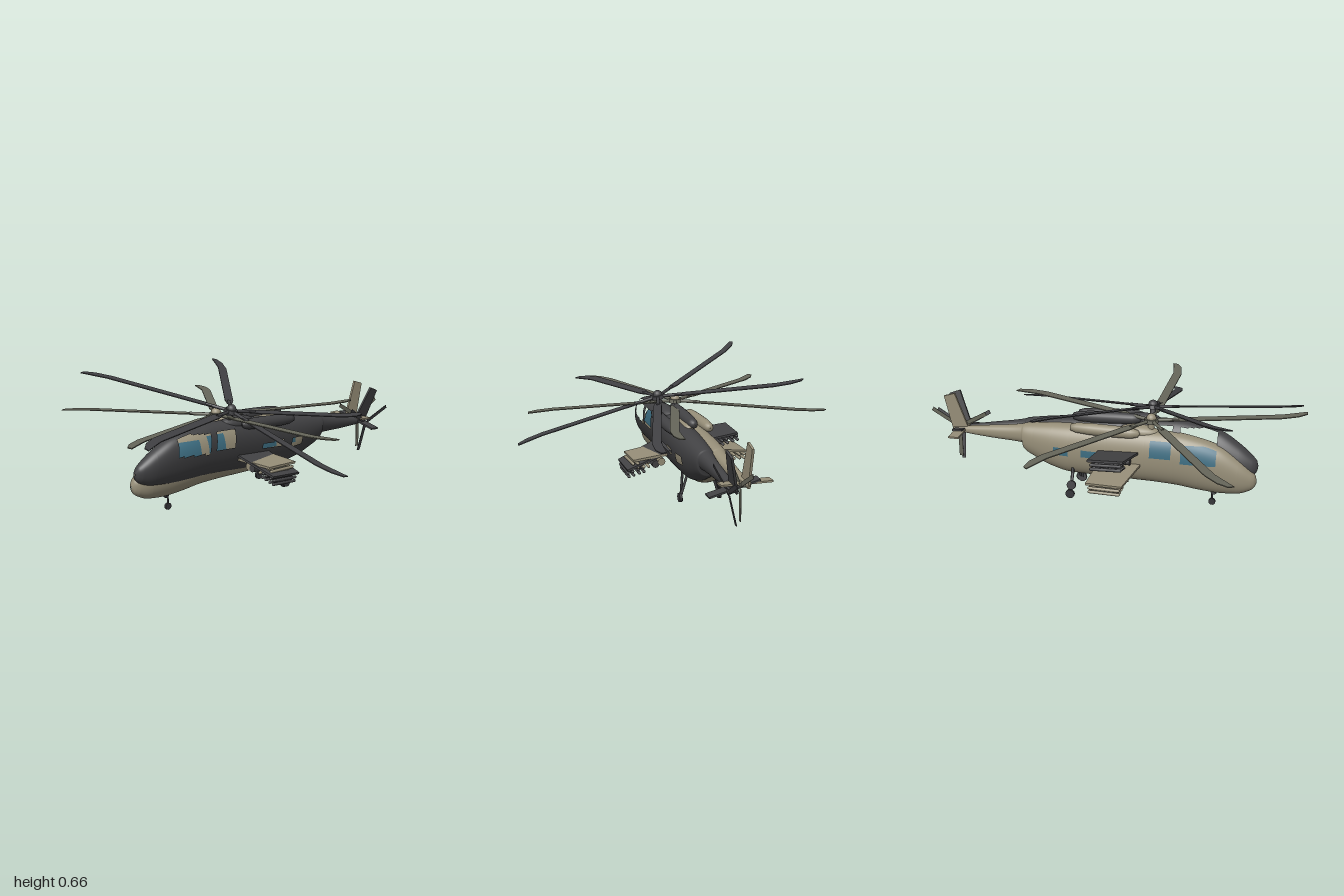
import * as THREE from 'three';

const mat = (name, color, side = THREE.FrontSide) => {
  const m = new THREE.MeshStandardMaterial({ color, side });
  m.name = name;
  return m;
};

// Fuselage stations: z, belly height, roof height, half width
const STATIONS = [
  [0.775, 0.152, 0.165, 0.002], [0.768, 0.132, 0.19, 0.02], [0.745, 0.11, 0.215, 0.036],
  [0.68, 0.085, 0.272, 0.056], [0.58, 0.078, 0.335, 0.069], [0.48, 0.085, 0.365, 0.076],
  [0.35, 0.1, 0.385, 0.081], [0.2, 0.105, 0.388, 0.085], [0, 0.105, 0.385, 0.086],
  [-0.2, 0.108, 0.376, 0.084], [-0.3, 0.13, 0.37, 0.077], [-0.4, 0.175, 0.36, 0.064],
  [-0.458, 0.212, 0.352, 0.053], [-0.466, 0.245, 0.348, 0.044], [-0.65, 0.253, 0.32, 0.028],
  [-0.8, 0.264, 0.3, 0.018], [-0.86, 0.27, 0.292, 0.01], [-0.865, 0.28, 0.281, 0.001],
];
const POWER = 2.2;

// Windows: front z, rear z, sill, top, and how far an open frame reaches beyond the glass
const WINDOWS = [
  { name: 'cockpitWindow', z: [0.39, 0.57], y: [0.25, 0.345], grow: 0.015 },
  { name: 'doorWindow', z: [0.23, 0.34], y: [0.268, 0.355], grow: 0.006 },
  { name: 'cabinWindow', z: [-0.13, 0.02], y: [0.232, 0.27], grow: 0 },
  { name: 'rearWindow', z: [-0.28, -0.2], y: [0.228, 0.27], grow: 0 },
];

// Smooth, overshoot-free blend between stations
function stationAt(z) {
  const last = STATIONS.length - 1;
  let i = 0;
  while (i < last - 1 && STATIONS[i + 1][0] > z) i++;
  const slope = (j, k) => (STATIONS[j + 1][k] - STATIONS[j][k]) / (STATIONS[j + 1][0] - STATIONS[j][0]);
  const tangent = (j, k) => {
    if (j === 0) return slope(0, k);
    if (j === last) return slope(last - 1, k);
    const a = slope(j - 1, k), b = slope(j, k);
    return a * b > 0 ? (2 * a * b) / (a + b) : 0;
  };
  const h = STATIONS[i + 1][0] - STATIONS[i][0];
  const t = (z - STATIONS[i][0]) / h, u = 1 - t;
  return [1, 2, 3].map((k) => u * u * (1 + 2 * t) * STATIONS[i][k] + t * t * (3 - 2 * t) * STATIONS[i + 1][k]
    + h * t * u * (u * tangent(i, k) - t * tangent(i + 1, k)));
}

const windowTop = (w, z) => Math.min(w.y[1], stationAt(z)[1] - 0.015);

const inWindow = (z, y) => WINDOWS.some((w) => z > w.z[0] - w.grow && z < w.z[1] && y > w.y[0]
  && y < windowTop(w, z) + w.grow * 0.4);

function hullGeometry(open) {
  const n = 80, pos = [], index = [];
  const bend = (v) => Math.sign(v) * Math.pow(Math.abs(v), 2 / POWER);
  const zs = STATIONS.map((s) => s[0]);
  for (let z = 0.76; z > -0.86; z -= 0.01) zs.push(z);
  zs.sort((a, b) => b - a);
  zs.forEach((z, i) => {
    const [lo, hi, w] = stationAt(z);
    for (let j = 0; j < n; j++) {
      const a = (j / n) * Math.PI * 2;
      const y = (lo + hi) / 2 + ((hi - lo) / 2) * bend(Math.sin(a));
      pos.push(w * bend(Math.cos(a)), y, z);
      if (i === zs.length - 1 || (open && inWindow(z - 0.005, y))) continue;
      const p = i * n + j, q = i * n + ((j + 1) % n);
      index.push(p, p + n, q, q, p + n, q + n);
    }
  });
  const g = new THREE.BufferGeometry();
  g.setAttribute('position', new THREE.Float32BufferAttribute(pos, 3));
  g.setIndex(index);
  g.computeVertexNormals();
  return g;
}

// Thin pane that follows the hull side
function paneGeometry(side, w) {
  const g = new THREE.PlaneGeometry(1, 1, 12, 10), p = g.attributes.position;
  for (let i = 0; i < p.count; i++) {
    const z = THREE.MathUtils.lerp(...w.z, p.getX(i) + 0.5);
    const y = THREE.MathUtils.lerp(w.y[0], windowTop(w, z), p.getY(i) + 0.5);
    const [lo, hi, half] = stationAt(z);
    const t = Math.abs((2 * y - lo - hi) / (hi - lo));
    p.setXYZ(i, side * (half * Math.pow(1 - Math.pow(t, POWER), 1 / POWER) + 0.004), y + 0.001, z);
  }
  if (side > 0) g.index.array.reverse();
  g.computeVertexNormals();
  return g;
}

const plate = (pts, depth) => {
  const g = new THREE.ExtrudeGeometry(new THREE.Shape(pts.map((p) => new THREE.Vector2(...p))),
    { depth, bevelEnabled: false });
  return g.translate(0, 0, -depth / 2);
};

// Without glass the window frames are left open
function createHelicopter(body, trim, dark, glass) {
  const heli = new THREE.Group();
  const add = (name, geo, m, x = 0, y = 0, z = 0, parent = heli) => {
    const mesh = new THREE.Mesh(geo, m);
    mesh.name = name;
    mesh.position.set(x, y, z);
    parent.add(mesh);
    return mesh;
  };
  const rod = (name, a, b, r, m) => {
    const from = new THREE.Vector3(...a), dir = new THREE.Vector3(...b).sub(from);
    const mesh = add(name, new THREE.CylinderGeometry(r, r, dir.length(), 10), m);
    mesh.position.copy(from).addScaledVector(dir, 0.5);
    mesh.quaternion.setFromUnitVectors(new THREE.Vector3(0, 1, 0), dir.normalize());
  };
  const wheel = (name, x, y, z, r, w) =>
    add(name, new THREE.CylinderGeometry(r, r, w, 18).rotateZ(Math.PI / 2), dark, x, y, z);

  add('fuselage', hullGeometry(!glass), body);

  // Rotor mast and hub
  add('rotorFairing', new THREE.SphereGeometry(1, 20, 12).scale(0.045, 0.035, 0.11), body, 0, 0.375, 0.16);
  add('mast', new THREE.CylinderGeometry(0.014, 0.02, 0.08, 14), body, 0, 0.41, 0.222);
  const rotor = new THREE.Group();
  rotor.name = 'mainRotor';
  rotor.position.set(0, 0.443, 0.222);
  heli.add(rotor);
  add('hub', new THREE.CylinderGeometry(0.034, 0.038, 0.02, 20), trim, 0, 0, 0, rotor);
  add('hubDome', new THREE.SphereGeometry(0.026, 16, 8, 0, Math.PI * 2, 0, Math.PI / 2), body, 0, 0.01, 0, rotor);
  const bladeGeo = plate([[0.1, -0.012], [0.15, -0.025], [0.67, -0.029], [0.76, -0.012], [0.815, 0.018],
    [0.82, 0.046], [0.76, 0.034], [0.68, 0.019], [0.15, 0.021], [0.1, 0.012]], 0.005).rotateX(-Math.PI / 2);
  const armGeo = new THREE.CylinderGeometry(0.009, 0.009, 0.12, 10).rotateZ(Math.PI / 2).translate(0.08, 0, 0);
  for (let i = 0; i < 5; i++) {
    const a = (i * Math.PI * 2) / 5;
    add('rotorBlade', bladeGeo, trim, 0, 0, 0, rotor).rotation.y = a;
    add('bladeArm', armGeo, trim, 0, 0, 0, rotor).rotation.y = a;
  }

  // Tail fin, stabilizer and tail rotor
  add('tailFin', plate([[0.77, 0.275], [0.86, 0.265], [0.905, 0.465], [0.845, 0.485]], 0.012)
    .rotateY(Math.PI / 2), body);
  add('stabilizer', new THREE.BoxGeometry(0.26, 0.009, 0.055), body, 0, 0.285, -0.815);
  const tail = new THREE.Group();
  tail.name = 'tailRotor';
  tail.position.set(0.034, 0.28, -0.84);
  heli.add(tail);
  add('tailHub', new THREE.CylinderGeometry(0.012, 0.012, 0.04, 14).rotateZ(Math.PI / 2), trim, -0.014, 0, 0, tail);
  const tailBlade = new THREE.BoxGeometry(0.003, 0.16, 0.022).translate(0, 0.095, 0);
  for (let i = 0; i < 3; i++)
    add('tailBlade', tailBlade, trim, 0, 0, 0, tail).rotation.x = Math.PI + (i * Math.PI * 2) / 3;

  // Nose gear
  rod('noseStrut', [0, 0.09, 0.55], [0, 0.02, 0.55], 0.005, dark);
  wheel('noseWheel', 0, 0.018, 0.55, 0.018, 0.012);

  const podProfile = [[0.001, -0.18], [0.017, -0.18], [0.026, -0.15], [0.031, -0.08], [0.031, 0.05],
    [0.028, 0.14], [0.018, 0.175], [0.001, 0.185]].map((p) => new THREE.Vector2(...p));
  const engineGeo = new THREE.LatheGeometry(podProfile, 20).rotateX(Math.PI / 2);
  const missileGeo = new THREE.CapsuleGeometry(0.008, 0.15, 4, 10).rotateX(Math.PI / 2);
  const launcherGeo = new THREE.CylinderGeometry(0.02, 0.02, 0.17, 16).rotateX(Math.PI / 2);

  for (const s of [-1, 1]) {
    add('engine', engineGeo, body, s * 0.054, 0.383, -0.01);
    if (glass) for (const w of WINDOWS) add(w.name, paneGeometry(s, w), glass);

    // Main gear
    rod('mainStrut', [s * 0.062, 0.16, -0.18], [s * 0.105, 0.025, -0.185], 0.007, dark);
    wheel('mainWheel', s * 0.108, 0.024, -0.185, 0.024, 0.013);

    // Stub wing, sloping slightly down toward the tip
    add('stubWing', plate([[0, 0.19], [s * 0.255, 0.14], [s * 0.255, -0.045], [0, -0.03]], 0.012)
      .rotateX(Math.PI / 2).rotateZ(s * -0.09), body, s * 0.06, 0.222, 0);

    // Weapons under the wing
    add('launcherPylon', new THREE.BoxGeometry(0.008, 0.03, 0.08), trim, s * 0.157, 0.2, 0.05);
    add('launcher', launcherGeo, body, s * 0.157, 0.178, 0.055);
    for (const x of [0.24, 0.298]) {
      add('missilePylon', new THREE.BoxGeometry(0.008, 0.035, 0.08), trim, s * x, 0.183, 0.05);
      add('missileRack', new THREE.BoxGeometry(0.03, 0.007, 0.1), trim, s * x, 0.171, 0.05);
      for (const dx of [-0.013, 0.013])
        for (const y of [0.179, 0.158]) add('missile', missileGeo, body, s * x + dx, y, 0.05);
    }
  }
  return heli;
}

export function createModel() {
  const model = new THREE.Group();
  const glass = mat('blueGlass', 0x3c6c80, THREE.DoubleSide);
  const dark = mat('rubberGrey', 0x363639);

  const tan = createHelicopter(mat('tanPaint', 0x968e78), mat('oliveGrey', 0x66665a), dark, glass);
  tan.name = 'tanHelicopter';
  tan.position.x = -0.092;

  // Second craft with open windows, banked and pitched slightly nose up
  const grey = createHelicopter(mat('charcoalPaint', 0x424244), mat('charcoalTrim', 0x404043), dark, null);
  grey.name = 'greyHelicopter';
  grey.position.set(-0.1, 0.035, 0.01);
  grey.rotation.set(-0.053, 0, -0.25);
  grey.getObjectByName('mainRotor').scale.setScalar(0.975);

  model.add(tan, grey);
  return model;
}
